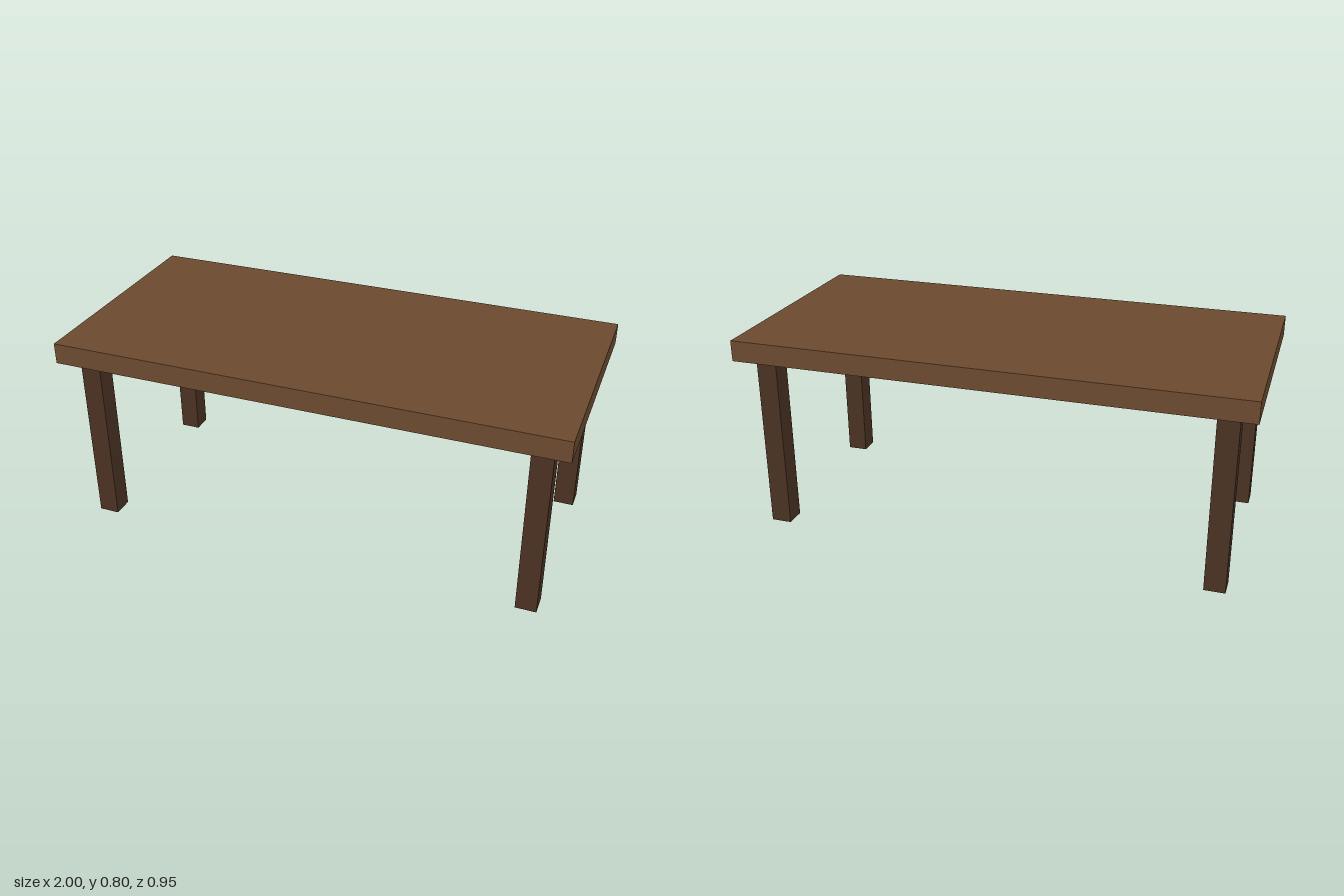
import * as THREE from 'three';

const HEIGHT = 0.8, TOP_THICKNESS = 0.083, DEPTH = 0.946;
const LEG = 0.082, LEG_X = 0.893, LEG_Z = 0.368;

export function createModel() {
  const table = new THREE.Group();
  table.name = 'table';

  const topWood = new THREE.MeshStandardMaterial({ color: 0x6b4a2f });
  const legWood = new THREE.MeshStandardMaterial({ color: 0x4a3222 });

  // Slab top
  const top = new THREE.Mesh(new THREE.BoxGeometry(2, TOP_THICKNESS, DEPTH), topWood);
  top.name = 'tableTop';
  top.position.y = HEIGHT - TOP_THICKNESS / 2;
  table.add(top);

  // Four square legs, inset from the corners
  const legHeight = HEIGHT - TOP_THICKNESS;
  const legGeometry = new THREE.BoxGeometry(LEG, legHeight, LEG);
  for (const [sideName, sx] of [['Left', 1], ['Right', -1]]) {
    for (const [endName, sz] of [['front', 1], ['back', -1]]) {
      const leg = new THREE.Mesh(legGeometry, legWood);
      leg.name = `${endName}${sideName}Leg`;
      leg.position.set(sx * LEG_X, legHeight / 2, sz * LEG_Z);
      table.add(leg);
    }
  }
  return table;
}
